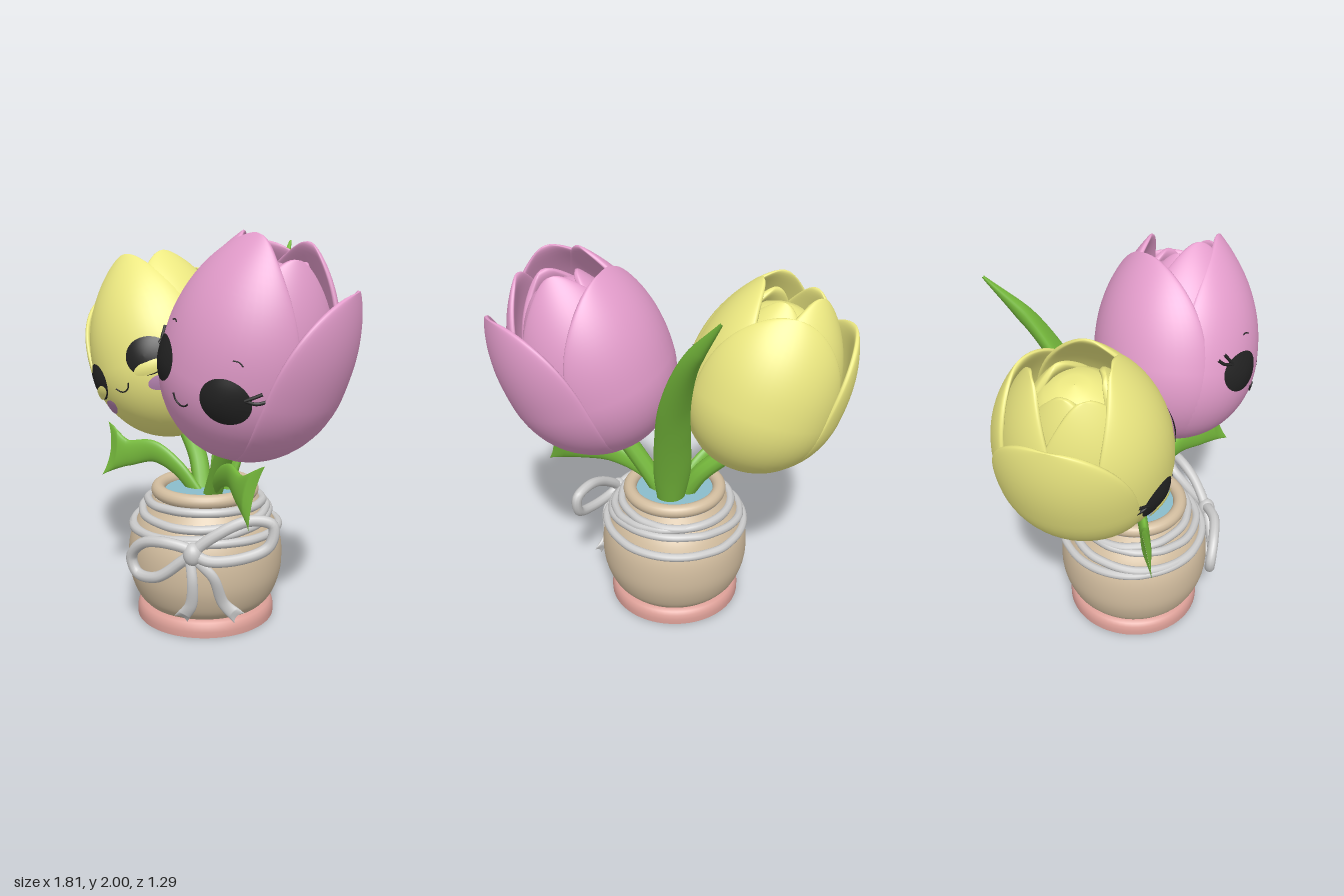
import * as THREE from 'three';
import { ParametricGeometry } from 'three/addons/geometries/ParametricGeometry.js';
import { toCreasedNormals } from 'three/addons/utils/BufferGeometryUtils.js';

const V = (x, y, z) => new THREE.Vector3(x, y, z);
const rad = THREE.MathUtils.degToRad;
const paint = (color) => new THREE.MeshStandardMaterial({ color });
const PINK = paint(0xe39ccb), YELLOW = paint(0xece881), GREEN = paint(0x76ba3c), BLACK = paint(0x222222);
const CLAY = paint(0xd2bd9f), FOOT = paint(0xdc9f97), WATER = paint(0x8abccb), ROPE = paint(0xcccccc), BLUSH = paint(0xb583b0);

function add(parent, name, geometry, material) {
  const mesh = new THREE.Mesh(geometry, material);
  mesh.name = name;
  parent.add(mesh);
  return mesh;
}
const curve = (pts, closed = false) => new THREE.CatmullRomCurve3(pts.map((p) => V(...p)), closed);
const tube = (pts, r, closed = false, n = 40) => new THREE.TubeGeometry(curve(pts, closed), n, r, 10, closed);
const lathe = (pts) => new THREE.LatheGeometry(pts.map(([x, y]) => new THREE.Vector2(x, y)), 64);

// Egg profile shared by all petals: radius at height s
const BELLY = 0.45, TOP = 1.08;
function egg(s) {
  if (s < BELLY) return 0.425 * Math.sqrt(Math.max(0, 1 - ((BELLY - s) / BELLY) ** 2));
  return 0.425 * (1 - 0.6 * ((s - BELLY) / (TOP - BELLY)) ** 2.3);
}

// Cupped petal with a thick rounded rim, lofted from closed cross-sections
function petal({ az, half, h, k = 1, flare = 0, thick = 0.05 }) {
  return new ParametricGeometry((u, v, out) => {
    const s = h * (1 - Math.cos(Math.PI * (0.004 + 0.994 * v))) / 2;
    const phi = u * Math.PI * 2, sn = Math.sin(phi);
    const t = thick * Math.min(1, s * 6) * Math.sqrt(1 - (s / h) ** 16);
    const rim = Math.sign(sn) * Math.abs(sn) ** 0.5;
    const a = rad(az) - rad(half) * Math.sqrt(1 - (s / h) ** 4.5) * Math.cos(phi);
    const r = Math.max(0.001, egg(s) * k + flare * (s / h) ** 2.5 - t / 2 + t / 2 * rim);
    out.set(r * Math.sin(a), s, r * Math.cos(a));
  }, 56, 36);
}

// Petal sets: azimuth from the front, half-angle, height, radius factor, outward lean
const INNER = [
  ['heartPetalA', { az: 20, half: 75, h: 0.99, k: 0.82, flare: -0.06, thick: 0.07 }],
  ['heartPetalB', { az: 140, half: 75, h: 0.98, k: 0.8, flare: -0.07, thick: 0.07 }],
  ['heartPetalC', { az: 260, half: 75, h: 0.98, k: 0.78, flare: -0.08, thick: 0.07 }],
];
const PINK_PETALS = [
  ['frontPetal', { az: -5, half: 76, h: 1.085 }],
  ['sidePetal', { az: 108, half: 60, h: 0.945, k: 1.03, flare: 0.095 }],
  ['backPetal', { az: 228, half: 74, h: 0.98, k: 1.01, flare: 0.02 }],
  ['innerPetalA', { az: 300, half: 58, h: 1.05, k: 0.95 }],
  ['innerPetalB', { az: 60, half: 55, h: 1.03, k: 0.91 }],
  ['innerPetalC', { az: 175, half: 58, h: 1.05, k: 0.94 }],
  ...INNER,
];
const YELLOW_PETALS = [
  ['frontPetal', { az: 5, half: 76, h: 1.075 }],
  ['sidePetal', { az: -95, half: 55, h: 0.93, k: 1.02, flare: 0.08 }],
  ['backPetal', { az: 165, half: 64, h: 0.96, k: 1.01, flare: 0.02 }],
  ['innerPetalA', { az: 80, half: 62, h: 1.05, k: 0.97 }],
  ['innerPetalB', { az: -60, half: 55, h: 1.04, k: 0.91 }],
  ['innerPetalC', { az: 205, half: 66, h: 1.06, k: 0.94 }],
  ...INNER,
];
const HEART = [[0.001, 0.1], [0.2, 0.2], [0.27, 0.5], [0.25, 0.75], [0.2, 0.85], [0.14, 0.91], [0.07, 0.94], [0.001, 0.95]];

// Tulip head; faceX and roll place the face
function tulip(name, material, petals, faceX, roll, sleepy) {
  const head = new THREE.Group();
  head.name = name;
  for (const [part, p] of petals) add(head, part, petal(p), material);
  add(head, 'heart', lathe(HEART), material);

  const c = Math.cos(rad(roll)), sn = Math.sin(rad(roll));
  const onFace = (a, b, lift) => {
    const x = faceX + a * c - b * sn, s = 0.436 + a * sn + b * c;
    return V(x, s, Math.sqrt(Math.max(0, egg(s) ** 2 - x * x)) + lift);
  };
  // Domed oval laid on the front petal
  const oval = (part, a, b, rx, ry, lift, dome, mat) => {
    const g = new THREE.RingGeometry(0.001, 1, 36, 5), pos = g.attributes.position;
    for (let i = 0; i < pos.count; i++) {
      const x = pos.getX(i), y = pos.getY(i);
      const p = onFace(a + x * rx, b + y * ry, lift + dome * (1 - x * x - y * y));
      pos.setXYZ(i, p.x, p.y, p.z);
    }
    g.computeVertexNormals();
    add(head, part, g, mat);
  };
  const stroke = (part, pts, r) =>
    add(head, part, tube(pts.map(([a, b]) => onFace(a, b, 0.003).toArray()), r, false, 14), BLACK);

  for (const m of [-1, 1]) {
    oval('eye', m * 0.2, 0, 0.104, 0.104, 0.005, 0.016, BLACK);
    for (const [x, y] of [[0.135, 0.04], [0.115, 0.07]])
      stroke('eyelash', [[m * 0.27, 0.04], [m * (0.2 + x * 0.8), y * 0.75 + 0.01], [m * (0.2 + x), y + 0.02]], 0.008);
    if (sleepy) {
      oval('lowerEyelid', m * 0.2, -0.064, 0.08, 0.036, 0.018, 0.006, material);
      oval('cheek', m * 0.205, -0.155, 0.066, 0.04, 0.005, 0.003, BLUSH);
    } else {
      stroke('eyebrow', [[m * 0.175, 0.187], [m * 0.2, 0.19], [m * 0.22, 0.178]], 0.003);
    }
  }
  stroke('smile', [[-0.05, -0.09], [-0.03, -0.115], [0, -0.125], [0.03, -0.115], [0.05, -0.09]], 0.004);
  return head;
}

// Blade swept along a path; widths are half-widths, fork pushes the edges past the middle at the end
function blade(pts, widths, dirA, dirB, thick, fork = 0, cup = 0) {
  const path = curve(pts), a = V(...dirA), b = V(...dirB);
  const width = curve(widths.map((w, i) => [i, w, 0]));
  return new ParametricGeometry((u, v, out) => {
    const t = 0.002 + 0.996 * v, phi = u * Math.PI * 2;
    const tangent = path.getTangent(t);
    const side = a.clone().lerp(b, t);
    side.addScaledVector(tangent, -side.dot(tangent)).normalize();
    const normal = tangent.clone().cross(side);
    const w = width.getPoint(t).y, x = Math.cos(phi);
    const th = Math.min(thick, w) * (fork ? Math.min(1, (1 - t) * 8) : 1);
    out.copy(path.getPoint(t)).addScaledVector(side, w * x)
      .addScaledVector(normal, th * Math.sin(phi) + cup * w * x * x)
      .addScaledVector(tangent, fork * x * x * t ** 4);
  }, 28, 40);
}

export function createModel() {
  const model = new THREE.Group();
  model.name = 'tulipPot';

  // Pot
  const pot = new THREE.Group();
  pot.name = 'pot';
  pot.position.set(-0.023, 0, 0.105);
  model.add(pot);
  add(pot, 'foot', toCreasedNormals(lathe([[0, 0], [0.362, 0], [0.363, 0.03], [0.358, 0.055], [0.346, 0.073], [0.325, 0.083], [0, 0.083]]), 0.7), FOOT);
  const wall = new THREE.SplineCurve([[0.31, 0.07], [0.36, 0.13], [0.396, 0.23], [0.405, 0.33], [0.394, 0.43], [0.358, 0.52], [0.31, 0.59], [0.27, 0.65]]
    .map((p) => new THREE.Vector2(...p))).getPoints(50);
  add(pot, 'body', new THREE.LatheGeometry(wall, 64), CLAY);
  const rim = add(pot, 'rim', new THREE.TorusGeometry(0.245, 0.036, 16, 64), CLAY);
  rim.rotation.x = Math.PI / 2;
  rim.position.y = 0.678;
  const water = add(pot, 'water', new THREE.CircleGeometry(0.235, 48), WATER);
  water.rotation.x = -Math.PI / 2;
  water.position.y = 0.672;

  // Rope wound round the shoulder: height, tilt, phase
  const wallRadius = (y) => (wall.find((p) => p.y >= y) || wall[50]).x;
  for (const [y, tilt, phase] of [[0.49, 0.015, 0.5], [0.535, 0.035, 2.6], [0.585, 0.022, 3.6], [0.618, 0.016, 0.6]]) {
    const pts = [];
    for (let i = 0; i < 28; i++) {
      const a = i / 28 * Math.PI * 2, h = y + tilt * Math.sin(a + phase), r = wallRadius(h) + 0.01;
      pts.push([r * Math.cos(a), h, r * Math.sin(a)]);
    }
    add(pot, 'ropeTurn', tube(pts, 0.023, true, 96), ROPE);
  }

  // Bow
  const bow = new THREE.Group();
  bow.name = 'bow';
  model.add(bow);
  add(bow, 'rightLoop', tube([[0.22, 0.49, 0.47], [0.1, 0.525, 0.53], [-0.04, 0.49, 0.55], [-0.115, 0.4, 0.55], [-0.08, 0.325, 0.545], [0.05, 0.335, 0.54], [0.16, 0.42, 0.5]], 0.028, true, 60), ROPE);
  add(bow, 'leftLoop', tube([[0.24, 0.49, 0.46], [0.33, 0.59, 0.38], [0.43, 0.645, 0.27], [0.505, 0.62, 0.2], [0.5, 0.52, 0.22], [0.42, 0.465, 0.32], [0.29, 0.455, 0.44]], 0.028, true, 60), ROPE);
  const along = [0.8, 0, -0.6];
  add(bow, 'rightTail', blade([[0.22, 0.46, 0.48], [0.245, 0.35, 0.49], [0.225, 0.22, 0.48], [0.175, 0.145, 0.49]], [0.024, 0.026, 0.03, 0.036], along, along, 0.016, 0.015), ROPE);
  add(bow, 'leftTail', blade([[0.24, 0.46, 0.47], [0.315, 0.37, 0.42], [0.33, 0.22, 0.36], [0.385, 0.155, 0.32]], [0.024, 0.026, 0.03, 0.036], along, along, 0.016, 0.015), ROPE);
  const knot = add(bow, 'knot', new THREE.SphereGeometry(0.052, 20, 14), ROPE);
  knot.scale.set(0.9, 1.1, 0.9);
  knot.position.set(0.23, 0.48, 0.47);

  // Flower heads
  const pink = tulip('pinkTulip', PINK, PINK_PETALS, -0.01, -4.5, false);
  pink.position.set(0.237, 0.951, 0.228);
  pink.rotation.z = rad(-18);
  const yellow = tulip('yellowTulip', YELLOW, YELLOW_PETALS, 0.03, 10, true);
  yellow.position.set(-0.312, 0.885, -0.047);
  yellow.rotation.z = rad(17);
  yellow.scale.set(0.955, 0.945, 0.985);
  model.add(pink, yellow);

  // Stems
  add(model, 'pinkStem', tube([[0.03, 0.62, 0.12], [0.13, 0.8, 0.17], [0.25, 1.0, 0.23]], 0.05), GREEN);
  add(model, 'yellowStem', tube([[-0.06, 0.62, 0.08], [-0.15, 0.8, 0.02], [-0.3, 0.95, -0.04]], 0.05), GREEN);

  // Leaves
  add(model, 'tallLeaf', blade(
    [[0.015, 0.62, 0.02], [0.02, 0.85, -0.05], [0.04, 1.1, -0.14], [0.055, 1.35, -0.25], [0.03, 1.65, -0.42], [-0.05, 1.93, -0.635]],
    [0.07, 0.1, 0.095, 0.08, 0.05, 0.006], [1, 0, 0], [1, 0, 0], 0.04, 0, -0.25), GREEN);
  add(model, 'leftLeaf', blade(
    [[0.02, 0.64, 0.12], [0.14, 0.77, 0.19], [0.3, 0.845, 0.28], [0.46, 0.832, 0.39], [0.595, 0.845, 0.46]],
    [0.04, 0.045, 0.06, 0.075, 0.148], [-0.3, 1, 0.2], [0, 1, -0.35], 0.024, 0.035), GREEN);
  add(model, 'rightLeaf', blade(
    [[-0.06, 0.64, 0.12], [-0.17, 0.77, 0.16], [-0.31, 0.842, 0.2], [-0.45, 0.82, 0.25], [-0.56, 0.825, 0.28]],
    [0.04, 0.045, 0.06, 0.075, 0.148], [0.3, 1, 0.2], [0, 1, -0.2], 0.024, 0.035), GREEN);

  return model;
}
